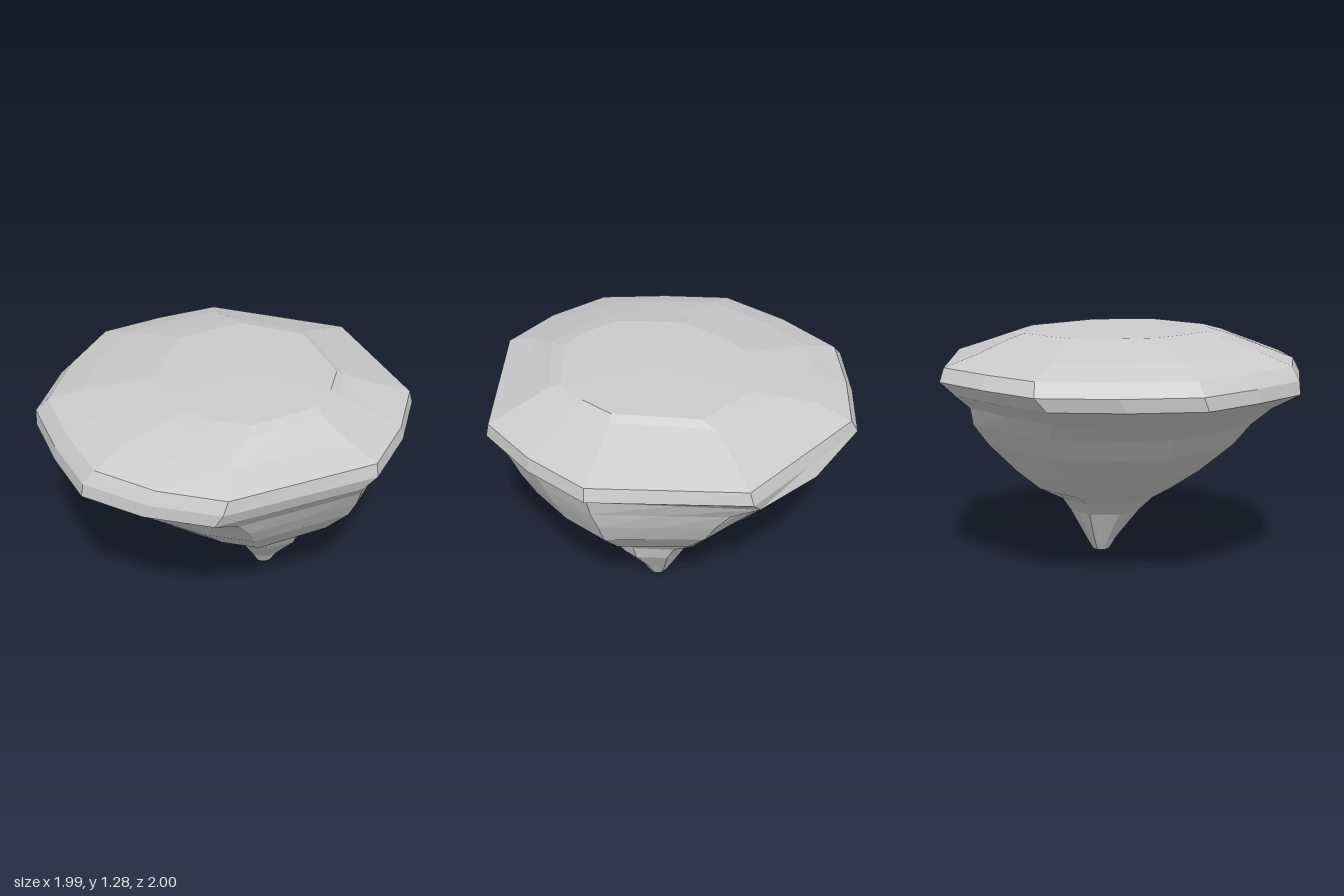
import * as THREE from 'three';

// Rock cross-sections from tip to crown: [y, left x, right x, back z, front z]
const RINGS = [
  [0.00, 0.17, 0.27, -0.06, 0.04],
  [0.07, 0.13, 0.31, -0.10, 0.08],
  [0.24, 0.03, 0.43, -0.19, 0.23],
  [0.32, -0.05, 0.45, -0.25, 0.30],
  [0.40, -0.20, 0.50, -0.40, 0.40],
  [0.51, -0.36, 0.66, -0.53, 0.55],
  [0.68, -0.59, 0.81, -0.70, 0.71],
  [0.80, -0.69, 0.86, -0.79, 0.80],
  [0.90, -0.83, 0.89, -0.82, 0.87],
  [0.99, -1.00, 0.91, -0.93, 0.99],
  [1.06, -1.00, 0.99, -1.00, 1.00],
  [1.13, -0.93, 0.97, -0.97, 0.98],
  [1.19, -0.75, 0.79, -0.79, 0.82],
  [1.25, -0.48, 0.61, -0.60, 0.66],
  [1.275, -0.36, 0.57, -0.49, 0.57],
];
const SIDES = 16;

// Uneven octagon with slightly swollen edge midpoints
function ringPoints([y, xl, xr, zb, zf]) {
  const cx = (xl + xr) / 2, cz = (zb + zf) / 2;
  const shift = y > 0.95 && y < 1.2 ? -0.05 : 0;
  const d = 0.715;
  const corners = [];
  for (let k = 0; k < 8; k++) {
    const c = [1, d, 0, -d, -1, -d, 0, d][k];
    const s = [0, d, 1, d, 0, -d, -1, -d][k];
    const x = cx + c * (xr - xl) / 2 + (c === 0 ? shift : 0);
    let z = cz + s * (zf - zb) / 2 + (s === 0 ? 0.03 * y : 0);
    // ledge on the back left corner, undercut beneath it
    if (k === 7 && y === 0.99) z -= 0.07;
    if (k === 7 && y > 0.5 && y < 0.85) z += 0.06;
    corners.push([x, z]);
  }
  const swell = [1.04, 1.0, 1.05, 1.02, 1.04, 1.02, y === 0.99 ? 1.08 : 1.0, 1.0];
  const points = [];
  corners.forEach(([x, z], k) => {
    const [nx, nz] = corners[(k + 1) % 8];
    points.push([x, y, z]);
    points.push([cx + ((x + nx) / 2 - cx) * swell[k], y, cz + ((z + nz) / 2 - cz) * swell[k]]);
  });
  // crown leans up slightly towards the left front
  if (y > 1.2) points.forEach((p) => { p[1] += 0.012 * p[0] + 0.008 * p[2]; });
  return points;
}

function loft(rings) {
  const positions = rings.flat(2);
  const index = [];
  for (let r = 0; r < rings.length - 1; r++) {
    for (let i = 0; i < SIDES; i++) {
      const a = r * SIDES + i, b = r * SIDES + (i + 1) % SIDES;
      index.push(a, a + SIDES, b, b, a + SIDES, b + SIDES);
    }
  }
  // close the tip and the crown with fans
  const last = (rings.length - 1) * SIDES;
  const tip = positions.length / 3;
  positions.push(0.22, 0, -0.01, 0.1, 1.28, 0.04);
  for (let i = 0; i < SIDES; i++) {
    const j = (i + 1) % SIDES;
    index.push(tip, i, j, tip + 1, last + j, last + i);
  }
  const geometry = new THREE.BufferGeometry();
  geometry.setAttribute('position', new THREE.Float32BufferAttribute(positions, 3));
  geometry.setIndex(index);
  const faceted = geometry.toNonIndexed();
  faceted.computeVertexNormals();
  return faceted;
}

export function createModel() {
  const group = new THREE.Group();
  group.name = 'floatingRock';
  const material = new THREE.MeshStandardMaterial({ color: 0xcccccc, flatShading: true });
  const rock = new THREE.Mesh(loft(RINGS.map(ringPoints)), material);
  rock.name = 'rockBody';
  group.add(rock);
  return group;
}
